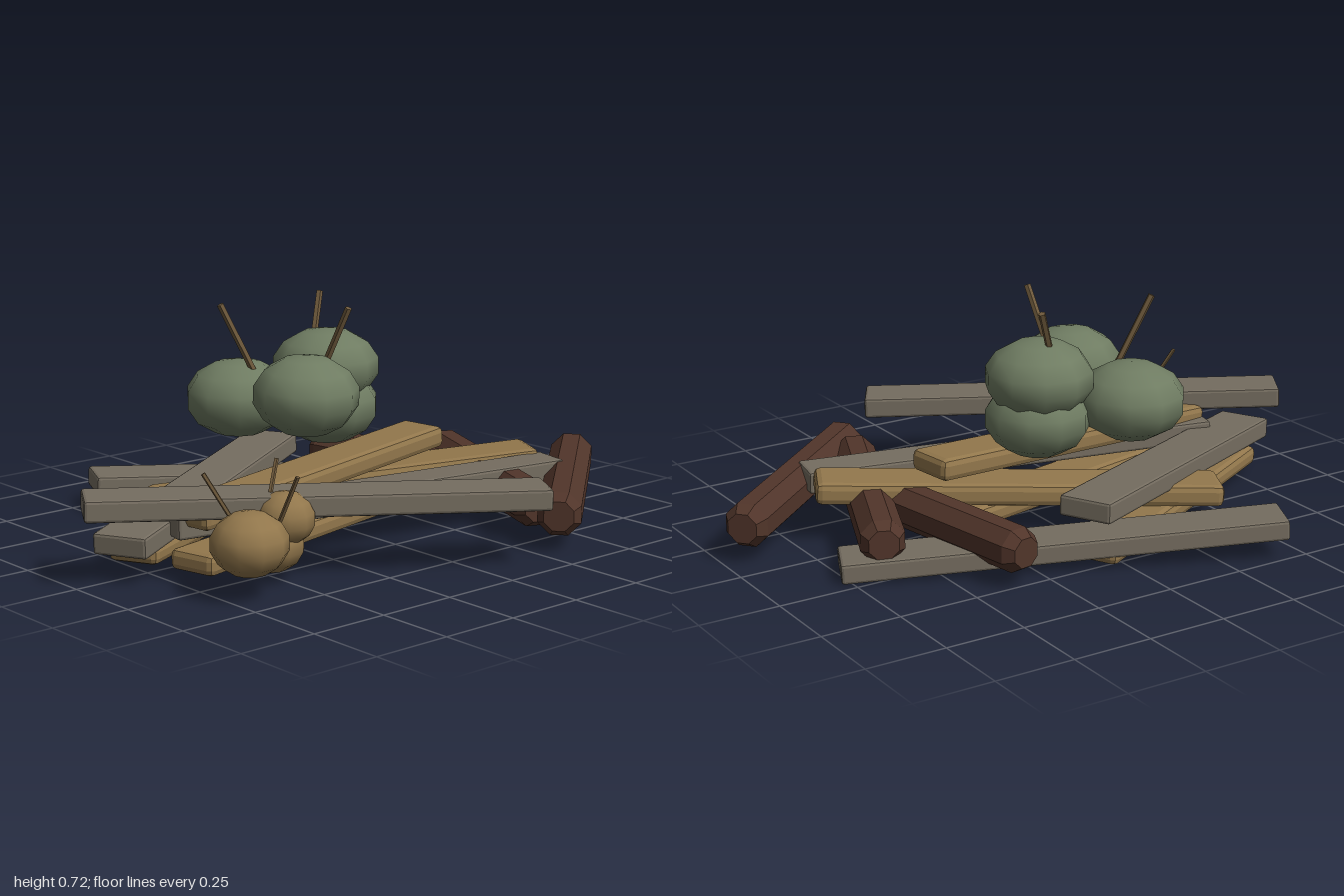
import * as THREE from 'three';
import { RoundedBoxGeometry } from 'three/addons/geometries/RoundedBoxGeometry.js';

const V = (p) => new THREE.Vector3(...p);

function material(name, color, flat) {
  const m = new THREE.MeshStandardMaterial({ color, flatShading: flat });
  m.name = name;
  return m;
}

export function createModel() {
  const group = new THREE.Group();
  const grey = material('weathered wood', 0x756d60, true);
  const tan = material('tan wood', 0x92774c, true);
  const bark = material('dark bark', 0x51352a, true);
  const green = material('green fruit skin', 0x6f7c62, false);
  const brown = material('tan fruit skin', 0x92774c, false);
  const twig = material('twig', 0x6f5a3c, true);

  const add = (name, geometry, mat) => {
    const mesh = new THREE.Mesh(geometry, mat);
    mesh.name = name;
    group.add(mesh);
    return mesh;
  };

  // Places a mesh whose length runs along z between two end centres
  const span = (mesh, a, b) => {
    mesh.position.copy(V(a)).lerp(V(b), 0.5);
    mesh.lookAt(V(b));
  };

  // Bevelled plank
  const plank = (name, mat, a, b, w, h, bevel) => {
    const length = V(a).distanceTo(V(b));
    span(add(name, new RoundedBoxGeometry(w, h, length, 1, bevel), mat), a, b);
  };

  // Eight-sided log with bevelled ends
  const log = (a, b, r) => {
    const l = V(a).distanceTo(V(b)) / 2;
    const profile = [[0, -l], [r * 0.68, -l], [r, -l + 0.035], [r, l - 0.035], [r * 0.68, l], [0, l]];
    const g = new THREE.LatheGeometry(profile.map((p) => new THREE.Vector2(...p)), 8);
    g.rotateY(Math.PI / 8).rotateX(Math.PI / 2);
    span(add('log', g, bark), a, b);
  };

  // Thin stem
  const stem = (a, b, r) => {
    const g = new THREE.CylinderGeometry(r, r, V(a).distanceTo(V(b)), 5).rotateX(Math.PI / 2);
    span(add('stem', g, twig), a, b);
  };

  // Flattened low-poly fruit
  const fruit = (name, mat, c, r, ry, turn, tilt) => {
    const m = add(name, new THREE.SphereGeometry(1, 10, 7), mat);
    m.position.set(...c);
    m.scale.set(r, ry, r);
    m.rotation.set(tilt, turn, 0);
  };

  // Grey planks
  const greys = [
    [[-0.96, 0.24, -0.02], [0.205, 0.215, 0.685], 0.16, 0.065],
    [[-0.46, 0.1, -0.69], [0.75, 0.036, -0.14], 0.165, 0.062],
    [[-0.7, 0.15, 0.04], [0.64, 0.155, 0.29], 0.13, 0.07],
    [[-0.885, 0.12, 0.05], [0.115, 0.185, -0.475], 0.17, 0.065],
  ];
  for (const [a, b, w, h] of greys) plank('greyPlank', grey, a, b, w, h, 0.009);

  // Tan planks
  const tans = [
    [[-0.69, 0.185, 0.11], [0.39, 0.245, -0.04], 0.165, 0.07],
    [[-0.47, 0.1, -0.36], [0.665, 0.17, 0.17], 0.175, 0.07],
    [[-0.79, 0.065, -0.02], [0.09, 0.045, -0.48], 0.16, 0.06],
    [[-0.73, 0.07, 0.18], [0.37, 0.07, -0.07], 0.16, 0.065],
  ];
  for (const [a, b, w, h] of tans) plank('tanPlank', tan, a, b, w, h, 0.02);

  // Logs
  log([0.95, 0.118, 0.085], [0.305, 0.118, 0.64], 0.072);
  log([0.66, 0.115, -0.25], [0.345, 0.115, 0.52], 0.071);
  log([0.345, 0.115, -0.52], [0.49, 0.115, 0.3], 0.07);

  // Large green fruit
  fruit('greenFruit', green, [-0.16, 0.455, 0.02], 0.166, 0.125, 0, 0.05);
  fruit('greenFruit', green, [0.06, 0.495, -0.145], 0.17, 0.12, 0.5, 0);
  fruit('greenFruit', green, [-0.2, 0.41, -0.26], 0.17, 0.122, 0.3, 0);
  fruit('greenFruit', green, [0.06, 0.37, -0.14], 0.166, 0.122, 0.2, 0);

  // Small tan fruit
  fruit('tanFruit', brown, [-0.68, 0.165, 0.39], 0.115, 0.095, 0, 0);
  fruit('tanFruit', brown, [-0.5, 0.195, 0.33], 0.088, 0.08, 0.4, 0);
  fruit('tanFruit', brown, [-0.52, 0.115, 0.29], 0.1, 0.085, 0.2, 0);

  // Stems of the large and the small fruit
  stem([-0.2, 0.5, -0.18], [-0.295, 0.717, -0.225], 0.011);
  stem([-0.07, 0.48, -0.03], [-0.042, 0.717, 0.08], 0.011);
  stem([0.04, 0.56, -0.185], [0.098, 0.717, -0.22], 0.011);
  stem([-0.68, 0.22, 0.31], [-0.737, 0.35, 0.255], 0.007);
  stem([-0.575, 0.2, 0.39], [-0.562, 0.35, 0.46], 0.007);
  stem([-0.53, 0.22, 0.285], [-0.467, 0.35, 0.25], 0.007);

  return group;
}
